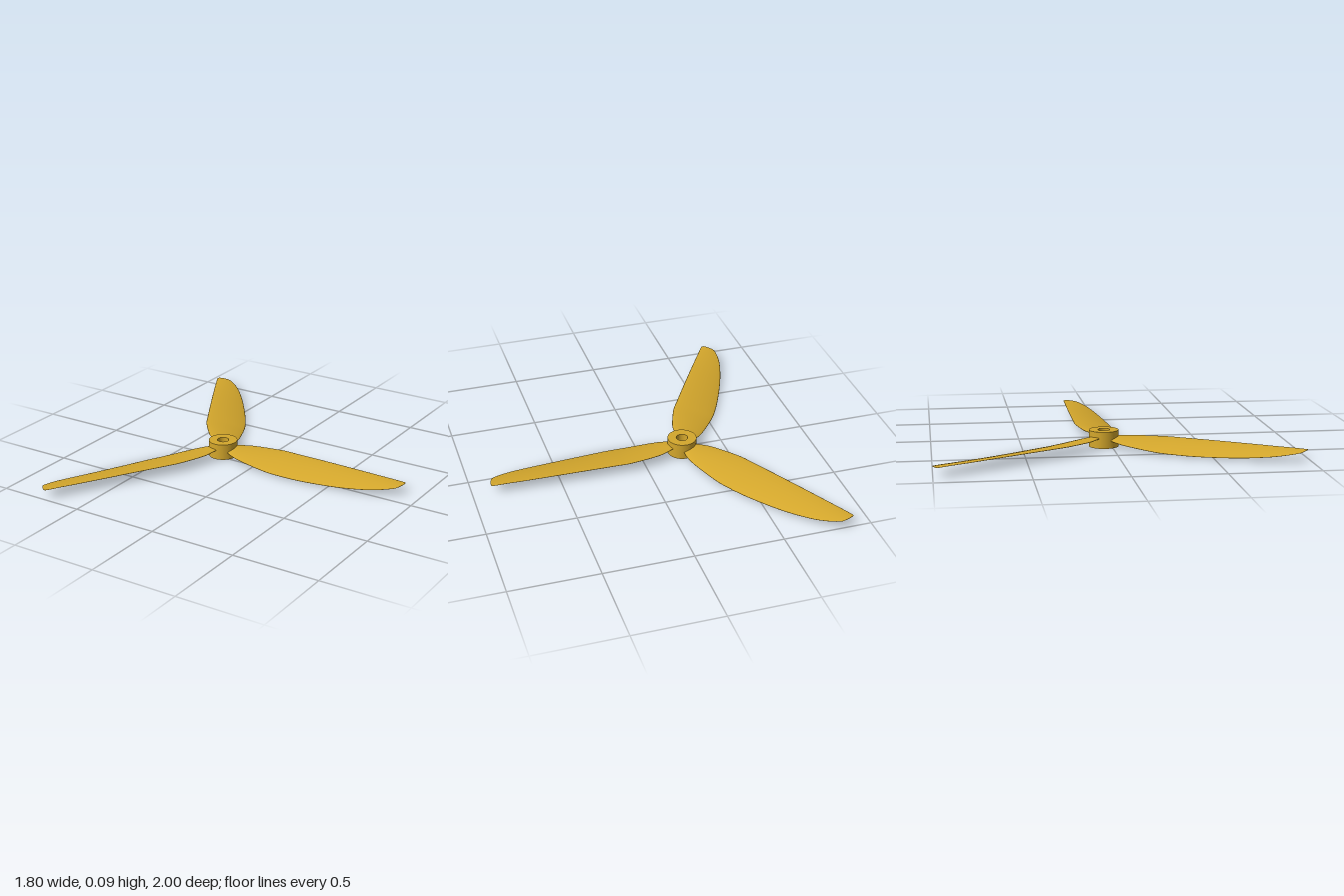
import * as THREE from 'three';

const material = new THREE.MeshStandardMaterial({ color: 0xd4a72c });

// Blade stations from root to tip: radius, rear edge z, front edge z
const outline = [
  [0.06, -0.043, 0.05], [0.1, -0.064, 0.069], [0.17, -0.093, 0.087], [0.33, -0.121, 0.106],
  [0.43, -0.122, 0.111], [0.59, -0.12, 0.103], [0.8, -0.116, 0.079], [0.96, -0.112, 0.048],
  [1.05, -0.109, 0.018], [1.115, -0.107, -0.018], [1.133, -0.105, -0.05], [1.14, -0.1, -0.078],
];
// Same stations: rear edge height, front edge height, thickness
const pitch = [
  [0.056, 0.042, 0.016], [0.056, 0.037, 0.016], [0.056, 0.028, 0.015], [0.057, 0.013, 0.013],
  [0.057, 0.009, 0.012], [0.057, 0.007, 0.011], [0.056, 0.013, 0.009], [0.055, 0.025, 0.007],
  [0.055, 0.036, 0.005], [0.054, 0.046, 0.004], [0.054, 0.051, 0.004], [0.054, 0.053, 0.003],
];
const curve = (rows) => new THREE.CatmullRomCurve3(
  rows.map((r) => new THREE.Vector3(...r)), false, 'catmullrom', 0.5);

// Twisted aerofoil lofted along +x
function bladeGeometry(steps = 66, ring = 32) {
  const plan = curve(outline);
  const twist = curve(pitch);
  const positions = [];
  const index = [];
  for (let i = 0; i <= steps; i++) {
    const p = plan.getPoint(i / steps);
    const h = twist.getPoint(i / steps);
    for (let j = 0; j < ring; j++) {
      const a = (j / ring) * Math.PI * 2;
      const c = (1 - Math.cos(a)) / 2; // 0 at the rear edge, 1 at the front edge
      const camber = 0.03 * (p.z - p.y) * 4 * c * (1 - c);
      positions.push(
        p.x,
        THREE.MathUtils.lerp(h.x, h.y, c) + camber + Math.sin(a) * h.z / 2,
        THREE.MathUtils.lerp(p.y, p.z, c));
    }
  }
  for (let i = 0; i < steps; i++) {
    for (let j = 0; j < ring; j++) {
      const a = i * ring + j;
      const b = i * ring + (j + 1) % ring;
      index.push(a, b, a + ring, b, b + ring, a + ring);
    }
  }
  // Close the root and the tip
  const last = steps * ring;
  for (let j = 1; j < ring - 1; j++) {
    index.push(0, j + 1, j, last, last + j, last + j + 1);
  }
  const geometry = new THREE.BufferGeometry();
  geometry.setAttribute('position', new THREE.Float32BufferAttribute(positions, 3));
  geometry.setIndex(index);
  geometry.computeVertexNormals();
  return geometry;
}

// Bored cylindrical hub standing on y = 0
function hubGeometry(radius, bore, height) {
  const shape = new THREE.Shape().absarc(0, 0, radius, 0, Math.PI * 2);
  shape.holes.push(new THREE.Path().absarc(0, 0, bore, 0, Math.PI * 2, true));
  return new THREE.ExtrudeGeometry(shape, { depth: height, bevelEnabled: false, curveSegments: 48 })
    .rotateX(-Math.PI / 2);
}

export function createModel() {
  const model = new THREE.Group();
  model.name = 'propeller';

  const rotor = new THREE.Group();
  rotor.name = 'rotor';
  rotor.position.set(-0.245, 0, -0.043);
  model.add(rotor);

  const hub = new THREE.Mesh(hubGeometry(0.083, 0.033, 0.093), material);
  hub.name = 'hub';
  rotor.add(hub);

  // Three equal blades
  const geometry = bladeGeometry();
  for (let i = 0; i < 3; i++) {
    const blade = new THREE.Mesh(geometry, material);
    blade.name = `blade${i + 1}`;
    blade.rotation.y = (i * Math.PI * 2) / 3;
    rotor.add(blade);
  }
  return model;
}
